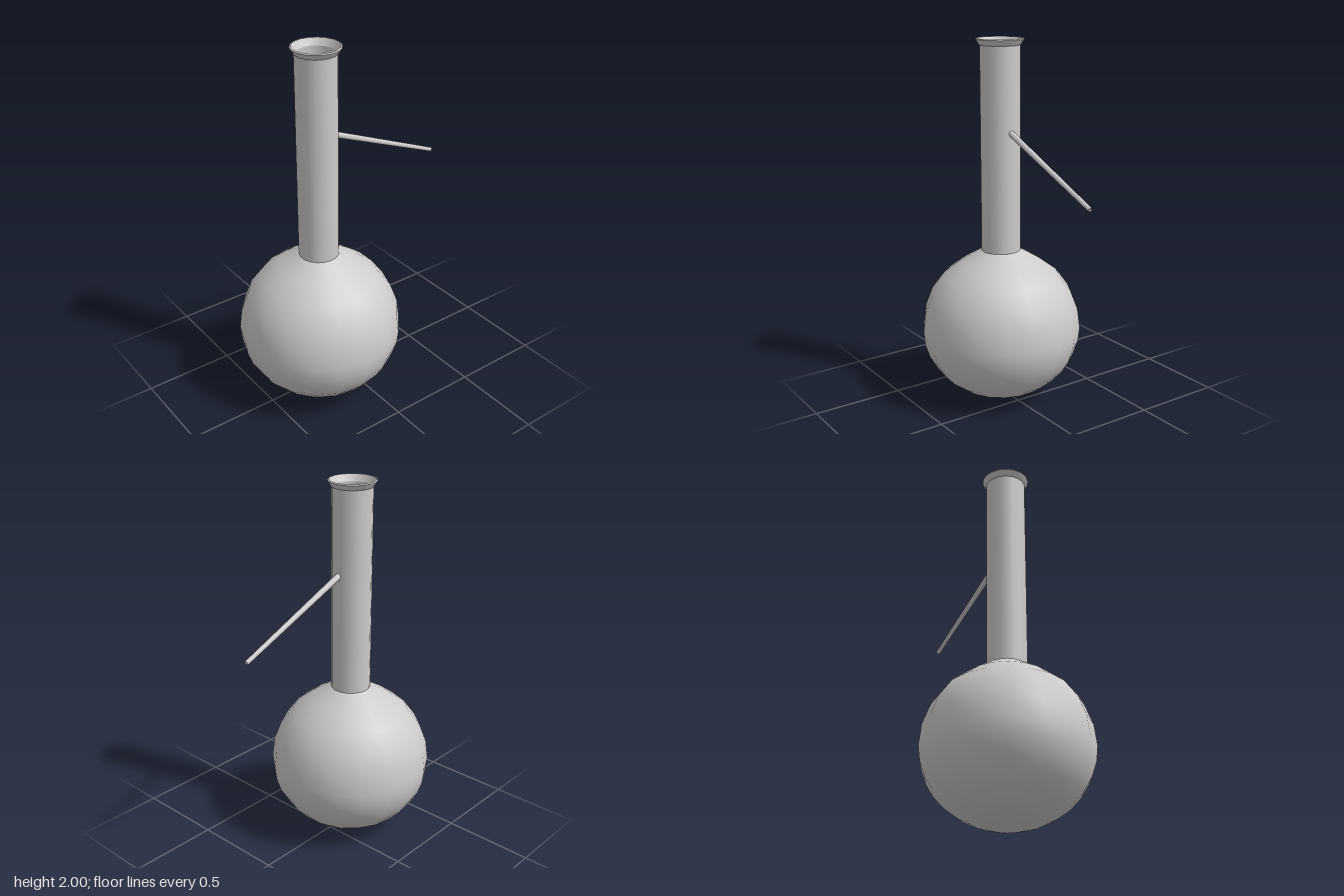
import * as THREE from 'three';

const SIDES = 18;
const WALL = 0.008;
const glass = new THREE.MeshStandardMaterial({ color: 0xcccccc });

// Turned surface; points running upward face outward, downward face inward
function turned(name, points, sides = SIDES) {
  const geometry = new THREE.LatheGeometry(points.map(([r, y]) => new THREE.Vector2(r, y)), sides);
  const mesh = new THREE.Mesh(geometry, glass);
  mesh.name = name;
  return mesh;
}

export function createModel() {
  const model = new THREE.Group();
  model.name = 'distillingFlask';

  const vessel = new THREE.Group();
  vessel.name = 'vessel';
  vessel.position.x = -0.167;
  model.add(vessel);

  // Round bulb: ellipse below the equator, slightly drawn-in shoulder above
  const bulb = [[0, 0]];
  for (let i = 1; i <= 8; i++) {
    const a = (i / 8) * Math.PI / 2;
    bulb.push([0.444 * Math.sin(a), 0.4 - 0.4 * Math.cos(a)]);
  }
  bulb.push([0.43, 0.51], [0.39, 0.615], [0.318, 0.712], [0.22, 0.785], [0.108, 0.852]);
  const bulbInside = bulb.map(([r, y]) => {
    const k = 1 - WALL / 0.444;
    return [r * k, 0.4 + (y - 0.4) * k];
  }).reverse();
  bulbInside[0] = [0.1, 0.852];
  vessel.add(turned('bulb', bulb), turned('bulbInside', bulbInside));

  // Straight neck
  vessel.add(
    turned('neck', [[0.108, 0.845], [0.108, 1.965]]),
    turned('neckInside', [[0.1, 1.965], [0.1, 0.845]])
  );

  // Flared lip
  vessel.add(
    turned('lip', [[0.108, 1.965], [0.115, 1.972], [0.129, 1.995]]),
    turned('lipEdge', [[0.129, 1.995], [0.127, 2], [0.121, 2]]),
    turned('lipInside', [[0.121, 2], [0.108, 1.978], [0.1, 1.965]])
  );

  // Slanted, slightly tapering hollow side arm, rooted in the neck wall
  const start = new THREE.Vector3(-0.064, 1.512, 0);
  const end = new THREE.Vector3(0.6, 1.239, 0);
  const length = start.distanceTo(end);
  const arm = new THREE.Group();
  arm.name = 'sideArm';
  arm.add(
    turned('armOutside', [[0.017, 0], [0.012, length]], 8),
    turned('armTip', [[0.012, length], [0.008, length]], 8),
    turned('armInside', [[0.008, length], [0.012, 0]], 8)
  );
  arm.position.copy(start);
  arm.quaternion.setFromUnitVectors(new THREE.Vector3(0, 1, 0), end.sub(start).normalize());
  model.add(arm);

  return model;
}
